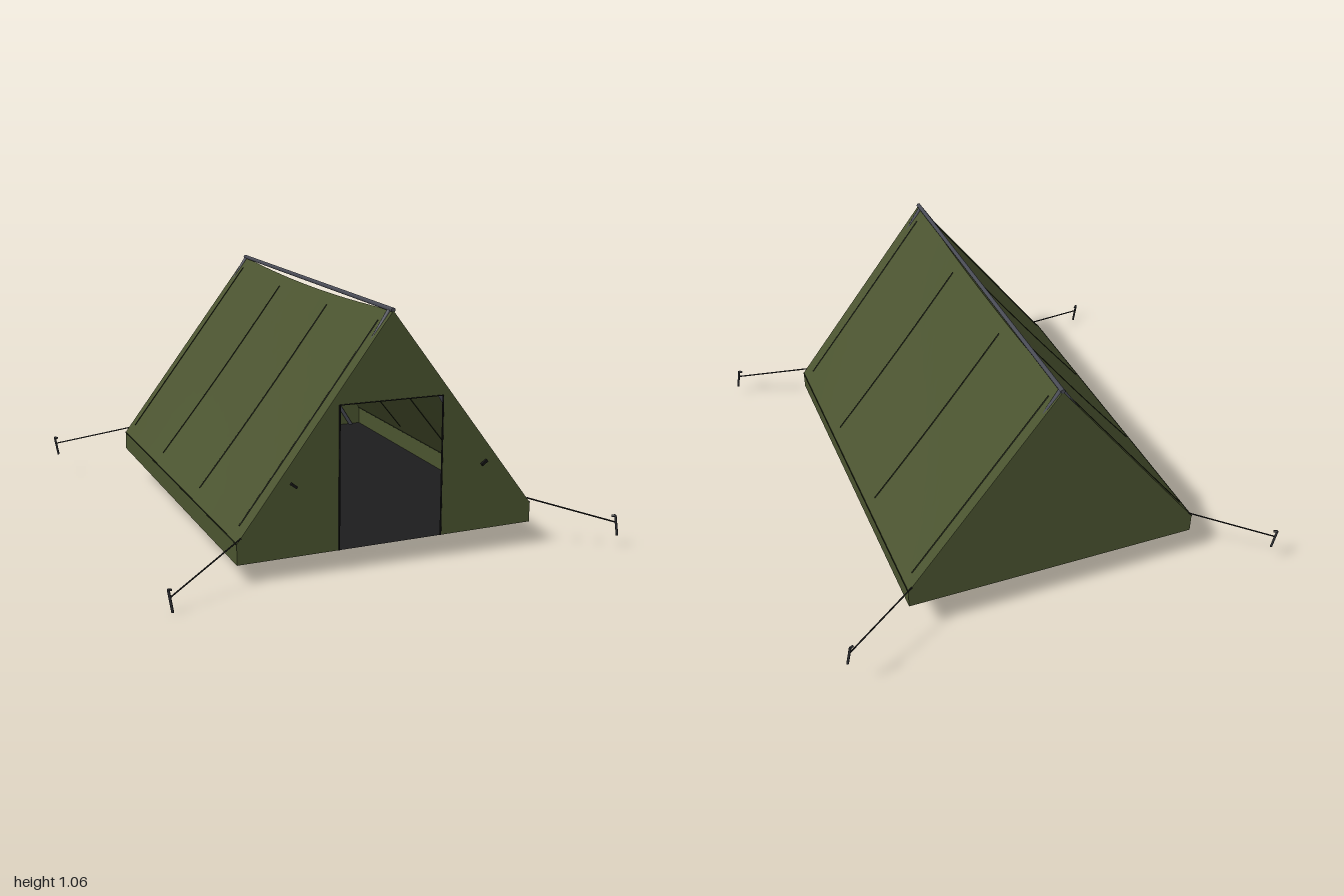
import * as THREE from 'three';
import { ParametricGeometry } from 'three/addons/geometries/ParametricGeometry.js';

const W = 0.62, L = 0.812, WALL = 0.08, RISE = 0.892;

export function createModel() {
  const tent = new THREE.Group();
  tent.name = 'tent';
  const material = (name, color, side = THREE.FrontSide) => {
    const m = new THREE.MeshStandardMaterial({ color, side });
    m.name = name;
    return m;
  };
  const canvas = material('canvas green', 0x4b5430, THREE.DoubleSide);
  const seamMat = material('seam dark green', 0x1e2314);
  const floorMat = material('groundsheet black', 0x1d1d1e, THREE.DoubleSide);
  const metal = material('pole grey', 0x4a4c56);
  const ropeMat = material('rope black', 0x141414);
  const stakeMat = material('stake grey', 0x2e2f33);

  const V = (x, y, z) => new THREE.Vector3(x, y, z);
  const add = (name, geometry, mat, parent = tent) => {
    const mesh = new THREE.Mesh(geometry, mat);
    mesh.name = name;
    parent.add(mesh);
    return mesh;
  };
  // Round bar between two points
  const rod = (name, a, b, r, mat, parent) => {
    const mesh = add(name, new THREE.CylinderGeometry(r, r, a.distanceTo(b), 8), mat, parent);
    mesh.position.lerpVectors(a, b, 0.5);
    mesh.quaternion.setFromUnitVectors(V(0, 1, 0), b.clone().sub(a).normalize());
    return mesh;
  };
  const sheet = (name, fn, nu, nv, mat) => {
    const g = new ParametricGeometry((u, v, t) => t.copy(fn(u, v)), nu, nv);
    g.computeVertexNormals();
    return add(name, g, mat);
  };

  // Sloping ground, and the roof slope with a sagging ridge (u: eave to ridge)
  const ground = (x, z) => 0.124 + 0.018 * x - 0.046 * z;
  const zAt = v => L - 2 * L * v;
  const roof = (s, u, z) => {
    const span = 1 - (z / L) ** 2;
    const eave = V(s * W + 0.004, ground(s * W, z) + WALL, z);
    const ridge = V(0.005, ground(0, z) + RISE - 0.024 * span, z);
    const p = eave.lerp(ridge, u);
    p.y -= 0.012 * span * Math.sin(Math.PI * u);
    return p;
  };

  sheet('groundsheet', (u, v) => {
    const x = W * (2 * u - 1) + 0.004, z = zAt(v);
    return V(x, ground(x, z), z);
  }, 2, 2, floorMat);

  for (const s of [-1, 1]) {
    const side = s > 0 ? 'left' : 'right';
    sheet(side + 'Roof', (u, v) => roof(s, u, zAt(v)), 10, 16, canvas);
    sheet(side + 'Wall', (u, v) => {
      const p = roof(s, 0, zAt(v));
      p.y -= WALL * (1 - u);
      return p;
    }, 1, 2, canvas);

    // Roof seams and eave hem
    for (const z of [0.745, 0.262, -0.27, -0.758]) {
      const pts = [0.055, 0.25, 0.5, 0.75, 0.95].map(u => roof(s, u, z));
      add(side + 'RoofSeam', new THREE.TubeGeometry(new THREE.CatmullRomCurve3(pts), 12, 0.0035, 5), seamMat);
    }
    rod(side + 'EaveHem', roof(s, 0, L), roof(s, 0, -L), 0.0025, seamMat);
  }

  // End walls, the front one with an open doorway
  const endWall = (name, z, door) => {
    const e = x => ground(x, z);
    const sh = new THREE.Shape();
    sh.moveTo(-W + 0.004, e(-W));
    if (door) {
      sh.lineTo(-0.21, e(-0.21));
      sh.lineTo(-0.21, 0.64);
      sh.lineTo(0.22, 0.645);
      sh.lineTo(0.22, e(0.22));
    }
    sh.lineTo(W + 0.004, e(W));
    sh.lineTo(W + 0.004, e(W) + WALL);
    sh.lineTo(0.005, e(0) + RISE);
    sh.lineTo(-W + 0.004, e(-W) + WALL);
    add(name, new THREE.ShapeGeometry(sh), canvas).position.z = z;
  };
  endWall('frontWall', L, true);
  endWall('backWall', -L, false);

  // Doorway binding and tie toggles
  const doorZ = L + 0.002;
  for (const [x, top] of [[-0.21, 0.64], [0.22, 0.645]]) {
    rod('doorBinding', V(x, ground(x, L), doorZ), V(x, top, doorZ), 0.0035, ropeMat);
  }
  rod('doorTopBinding', V(-0.21, 0.64, doorZ), V(0.22, 0.645, doorZ), 0.002, ropeMat);
  for (const [x, y, s] of [[-0.395, 0.355, -1], [0.405, 0.365, 1]]) {
    const t = add('doorToggle', new THREE.BoxGeometry(0.028, 0.01, 0.012), ropeMat);
    t.position.set(x, y, L + 0.008);
    t.rotation.z = s * 0.65;
  }

  // Ridge pole and A-frame poles at both ends
  const peak = z => V(0.005, ground(0, z) + RISE + 0.002, z);
  rod('ridgePole', peak(L), peak(-L), 0.009, metal);
  for (const z of [0.782, -0.795]) {
    for (const s of [-1, 1]) {
      rod('framePole', peak(z), V(s * 0.57, ground(s * 0.57, z), z), 0.009, metal);
    }
  }

  // Guy ropes and hooked stakes
  for (const sx of [-1, 1]) for (const sz of [-1, 1]) {
    const guy = new THREE.Group();
    guy.name = 'guyLine';
    tent.add(guy);
    const base = (sz > 0 ? 0 : 0.105) + (sx > 0 ? 0.055 : 0.003);
    const x = sx * 0.917;
    const top = V(x - 0.008, base + 0.085, sz * 0.99);
    const foot = V(x + 0.007, base, sz * 0.987);
    rod('stake', top, foot, 0.005, stakeMat, guy);
    rod('stakeHook', top, V(top.x - sx * 0.012, top.y - 0.004, top.z - sz * 0.008), 0.005, stakeMat, guy);
    const corner = roof(sx, 0.025, sz * L);
    rod('rope', corner, top.clone().lerp(foot, 0.35), 0.003, ropeMat, guy);
  }
  return tent;
}
